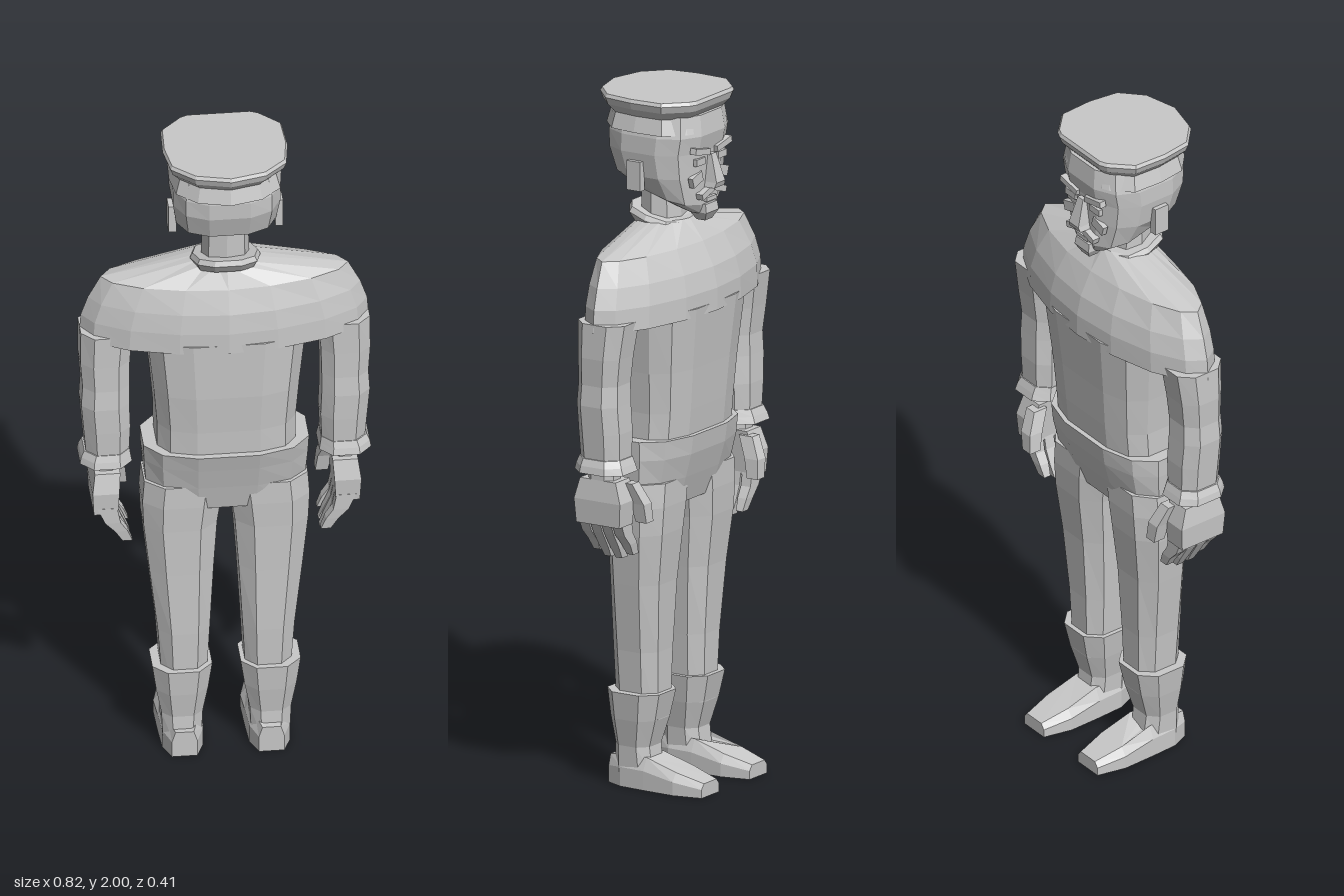
import * as THREE from 'three';

const grey = new THREE.MeshStandardMaterial({ color: 0xc8c8c8 });
grey.name = 'plain grey';

// One horizontal cross-section: e < 1 is boxy, e > 1 pointed; tilt raises the back, lowers the front
function ring(y, x, rx, zf, zb, { n = 8, e = 0.8, phase = 0, tilt = 0 } = {}) {
  const pts = [];
  const cz = (zf + zb) / 2, rz = (zb - zf) / 2;
  const pow = v => (Math.abs(v) < 1e-6 ? 0 : Math.sign(v) * Math.abs(v) ** e);
  for (let i = 0; i < n; i++) {
    const a = phase + (i / n) * Math.PI * 2;
    const s = pow(Math.sin(a));
    pts.push([x + rx * pow(Math.cos(a)), y + tilt * s, cz + rz * s]);
  }
  return pts;
}

// Faceted skin through rings listed from bottom to top, closed at both ends
function loft(rings) {
  const v = [];
  const tri = (a, b, c) => v.push(...a, ...b, ...c);
  const n = rings[0].length, top = rings[rings.length - 1];
  for (let i = 0; i < rings.length - 1; i++) {
    for (let j = 0; j < n; j++) {
      const k = (j + 1) % n;
      tri(rings[i][j], rings[i + 1][j], rings[i + 1][k]);
      tri(rings[i][j], rings[i + 1][k], rings[i][k]);
    }
  }
  for (let j = 1; j < n - 1; j++) {
    tri(rings[0][0], rings[0][j], rings[0][j + 1]);
    tri(top[0], top[j + 1], top[j]);
  }
  const g = new THREE.BufferGeometry();
  g.setAttribute('position', new THREE.Float32BufferAttribute(v, 3));
  g.computeVertexNormals();
  return g;
}

export function createModel() {
  const model = new THREE.Group();
  model.name = 'figure';

  function add(name, geometry) {
    const m = new THREE.Mesh(geometry, grey);
    m.name = name;
    model.add(m);
    return m;
  }
  const stack = (name, rows, o) => add(name, loft(rows.map(r => ring(...r, o))));
  // Same part on both sides, the second one mirrored across x
  function pair(name, rings) {
    add(name + 'Left', loft(rings));
    add(name + 'Right', loft(rings.map(r => r.map(([x, y, z]) => [-x, y, z]).reverse())));
  }
  const pairStack = (name, rows, o) => pair(name, rows.map(r => ring(...r, o)));
  function box(name, w, h, d, x, y, z, rz = 0, rx = 0) {
    const m = add(name, new THREE.BoxGeometry(w, h, d));
    m.position.set(x, y, z);
    m.rotation.set(rx, 0, rz);
  }
  const square = { n: 4, e: 0.01, phase: Math.PI / 4 };
  const eight = { n: 8, e: 0.75, phase: Math.PI / 8 };

  // Jacket: body, and the broad lens-shaped shoulders above the armpits
  stack('torso', [
    [1.0, 0, 0.2, -0.11, 0.13],
    [1.1, 0, 0.2, -0.12, 0.135],
    [1.22, 0, 0.21, -0.13, 0.145],
    [1.4, 0, 0.23, -0.148, 0.15],
  ], { n: 12, e: 0.6, phase: Math.PI / 12 });
  stack('shoulders', [
    [1.375, 0, 0.41, -0.148, 0.15],
    [1.44, 0, 0.405, -0.148, 0.15],
    [1.5, 0, 0.385, -0.135, 0.143],
    [1.57, 0, 0.35, -0.1, 0.12],
    [1.63, 0, 0.08, -0.055, 0.09],
  ], { n: 16, e: 1.12 });

  // Trousers
  stack('hips', [
    [0.82, 0, 0.215, -0.075, 0.095],
    [0.9, 0, 0.232, -0.1, 0.115],
    [0.97, 0, 0.238, -0.12, 0.135],
    [1.025, 0, 0.24, -0.128, 0.152],
  ], { n: 12, e: 0.75, phase: Math.PI / 12 });
  pairStack('leg', [
    [0.2, 0.118, 0.065, -0.05, 0.095],
    [0.4, 0.12, 0.078, -0.057, 0.102],
    [0.6, 0.126, 0.096, -0.07, 0.103],
    [0.75, 0.129, 0.11, -0.088, 0.106],
    [0.83, 0.125, 0.118, -0.094, 0.11],
    [0.9, 0.118, 0.12, -0.095, 0.11],
  ], eight);

  // Boots with a long toe and flat sole
  pairStack('bootShaft', [
    [0.04, 0.125, 0.058, -0.035, 0.1],
    [0.12, 0.125, 0.062, -0.025, 0.095],
    [0.2, 0.125, 0.078, -0.05, 0.108],
    [0.28, 0.125, 0.09, -0.068, 0.116],
  ], eight);
  const footOutline = [ // x offset, z, top height
    [0.062, -0.02, 0.08], [0.058, 0.06, 0.08], [0.036, 0.113, 0.07], [-0.036, 0.113, 0.07],
    [-0.058, 0.06, 0.08], [-0.062, -0.02, 0.08], [-0.064, -0.12, 0.055],
    [-0.045, -0.205, 0.035], [0.045, -0.205, 0.035], [0.064, -0.12, 0.055],
  ];
  const footRing = (scale, lift) => footOutline.map(([x, z, h]) => [0.123 + x * scale, h * lift, z]);
  pair('foot', [footRing(1, 0), footRing(1, 0.7), footRing(0.72, 1.15)]);

  // Sleeves, flared cuffs and wrists
  pairStack('sleeve', [
    [0.99, 0.333, 0.064, -0.062, 0.075],
    [1.08, 0.335, 0.07, -0.065, 0.08],
    [1.16, 0.34, 0.072, -0.062, 0.082],
    [1.22, 0.338, 0.07, -0.06, 0.078],
    [1.3, 0.34, 0.074, -0.07, 0.078],
    [1.4, 0.335, 0.078, -0.085, 0.08],
  ], eight);
  pairStack('cuff', [
    [0.965, 0.338, 0.078, -0.082, 0.09],
    [0.985, 0.338, 0.074, -0.075, 0.085],
    [1.005, 0.335, 0.068, -0.066, 0.078],
  ], eight);
  pairStack('wrist', [
    [0.92, 0.338, 0.036, -0.035, 0.055],
    [0.98, 0.338, 0.036, -0.035, 0.055],
  ], eight);

  // Hands: palm, thumb in front, four fingers curling inwards
  pairStack('palm', [
    [0.81, 0.342, 0.034, -0.065, 0.08],
    [0.88, 0.342, 0.038, -0.07, 0.085],
    [0.94, 0.336, 0.036, -0.05, 0.07],
  ], square);
  pairStack('thumb', [
    [0.815, 0.284, 0.018, -0.108, -0.072],
    [0.87, 0.292, 0.02, -0.105, -0.06],
    [0.93, 0.308, 0.018, -0.075, -0.03],
  ], square);
  for (let i = 0; i < 4; i++) {
    const z = -0.062 + i * 0.037, drop = i === 0 || i === 3 ? 0.015 : 0;
    pairStack('finger' + (i + 1), [
      [0.7 + drop, 0.28, 0.014, z + 0.004, z + 0.026],
      [0.735 + drop, 0.298, 0.018, z, z + 0.03],
      [0.78, 0.322, 0.022, z, z + 0.032],
      [0.83, 0.338, 0.028, z, z + 0.033],
    ], square);
  }

  // Neck and tilted collar
  stack('neck', [
    [1.58, 0, 0.07, -0.03, 0.085],
    [1.76, 0, 0.065, -0.02, 0.088],
  ]);
  stack('collar', [
    [1.6, 0, 0.088, -0.055, 0.105, { n: 10, tilt: 0.02 }],
    [1.63, 0, 0.1, -0.062, 0.125, { n: 10, tilt: 0.022 }],
    [1.645, 0, 0.092, -0.056, 0.118, { n: 10, tilt: 0.022 }],
  ].map(r => r.slice(0, 5)), { n: 10, tilt: 0.022 });

  // Head: sloping jaw, rounded skull
  const skull = { n: 12, e: 0.72, phase: Math.PI / 12 };
  add('head', loft([
    ring(1.69, 0, 0.065, -0.112, 0.06, { ...skull, tilt: 0.035 }),
    ring(1.715, 0, 0.115, -0.122, 0.1, { ...skull, tilt: 0.03 }),
    ring(1.77, 0, 0.145, -0.125, 0.145, skull),
    ring(1.84, 0, 0.156, -0.128, 0.168, skull),
    ring(1.89, 0, 0.156, -0.138, 0.17, skull),
    ring(1.95, 0, 0.143, -0.13, 0.16, skull),
  ]));

  // Face
  stack('nose', [
    [1.735, 0, 0.026, -0.155, -0.1],
    [1.75, 0, 0.022, -0.16, -0.1],
    [1.83, 0, 0.012, -0.136, -0.1],
  ], square);
  for (const s of [-1, 1]) {
    const side = s > 0 ? 'Left' : 'Right';
    box('eyebrow' + side, 0.075, 0.018, 0.02, s * 0.055, 1.845, -0.127, s * 0.2);
    box('eye' + side, 0.045, 0.02, 0.012, s * 0.055, 1.815, -0.124);
    box('cheek' + side, 0.05, 0.03, 0.016, s * 0.065, 1.765, -0.118, s * -0.3);
    box('moustache' + side, 0.06, 0.018, 0.022, s * 0.032, 1.722, -0.128, s * -0.3);
    box('ear' + side, 0.022, 0.085, 0.046, s * 0.151, 1.775, 0.028);
  }
  box('lowerLip', 0.05, 0.012, 0.016, 0, 1.698, -0.122);
  stack('goatee', [
    [1.635, 0, 0.018, -0.118, -0.09],
    [1.66, 0, 0.032, -0.132, -0.075],
    [1.685, 0, 0.03, -0.128, -0.08],
  ], square);

  // Flat cap: band, flare and top following one outline
  const half = [[0.175, 0.03], [0.162, 0.12], [0.1, 0.178]];
  const front = [[0.09, -0.138], [0.112, -0.128], [0.17, -0.07]];
  const flip = list => list.map(([x, z]) => [-x, z]).reverse();
  const outline = [...half, [0, 0.203], ...flip(half), ...flip(front), ...front];
  const capRing = (y, s) => outline.map(([x, z]) => [x * s, y, 0.025 + (z - 0.025) * s]);
  add('cap', loft([
    capRing(1.9, 0.91), capRing(1.945, 0.84), capRing(1.97, 0.97),
    capRing(1.99, 1.01), capRing(2.0, 0.98),
  ]));

  return model;
}
